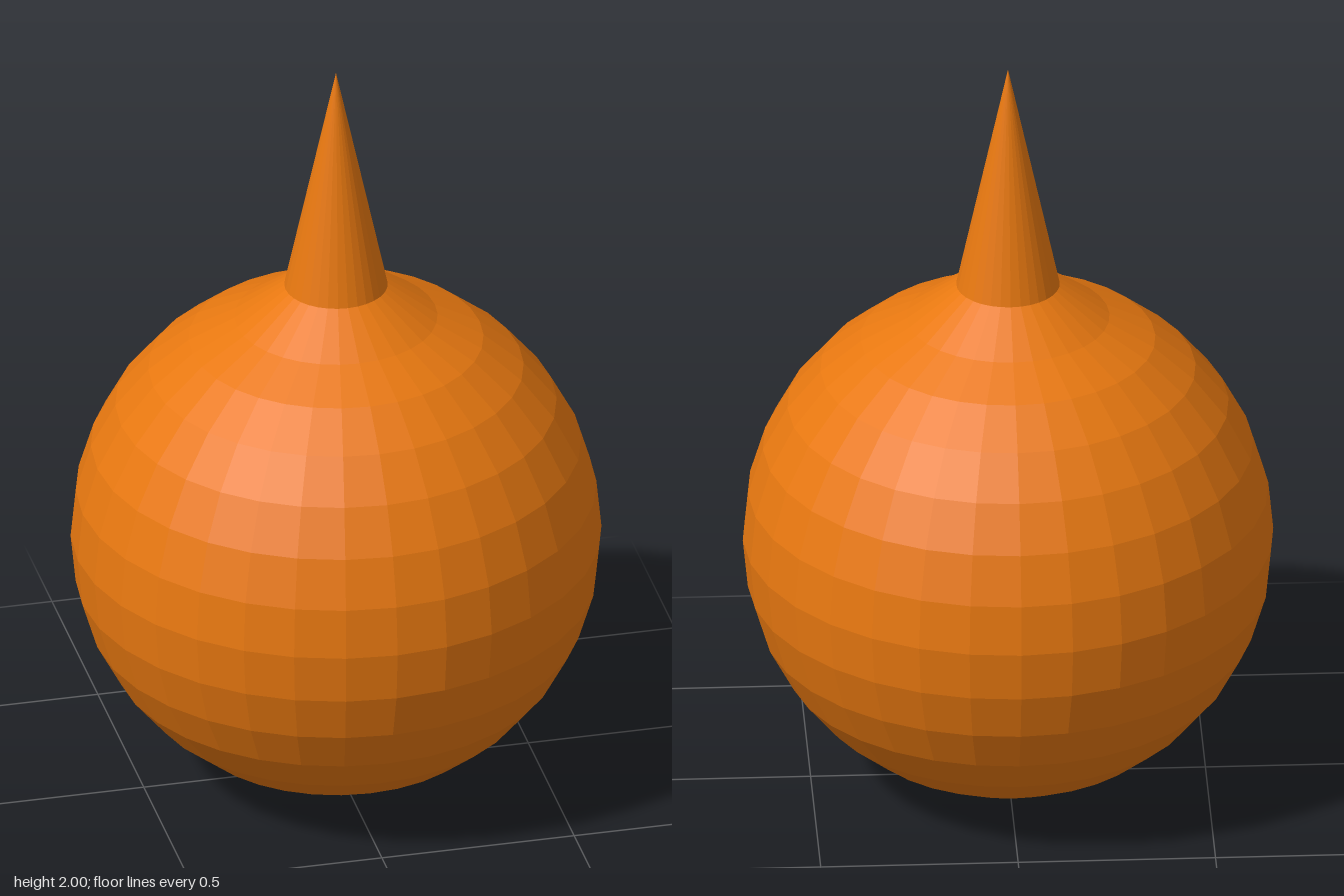
import * as THREE from 'three';

const SIDES = 32, STACKS = 16;
const RADIUS = 0.672, CENTER_Y = 0.677;
const NECK_RADIUS = 0.131, NECK_Y = 1.39, TIP_Y = 2;

export function createModel() {
  const group = new THREE.Group();
  group.name = 'spikedBall';
  const material = new THREE.MeshStandardMaterial({ color: 0xe87810, flatShading: true });

  const addLathe = (name, profile) => {
    const mesh = new THREE.Mesh(new THREE.LatheGeometry(profile, SIDES), material);
    mesh.name = name;
    group.add(mesh);
  };

  // Faceted ball, its last ring pulled up into a short neck
  const ball = [new THREE.Vector2(0, 0)];
  for (let i = 1; i < STACKS - 1; i++) {
    const a = (i / STACKS) * Math.PI;
    ball.push(new THREE.Vector2(RADIUS * Math.sin(a), CENTER_Y - RADIUS * Math.cos(a)));
  }
  ball.push(new THREE.Vector2(NECK_RADIUS, NECK_Y));
  addLathe('ball', ball);

  // Pointed spike rising from the neck
  addLathe('spike', [new THREE.Vector2(NECK_RADIUS, NECK_Y), new THREE.Vector2(0, TIP_Y)]);

  return group;
}
